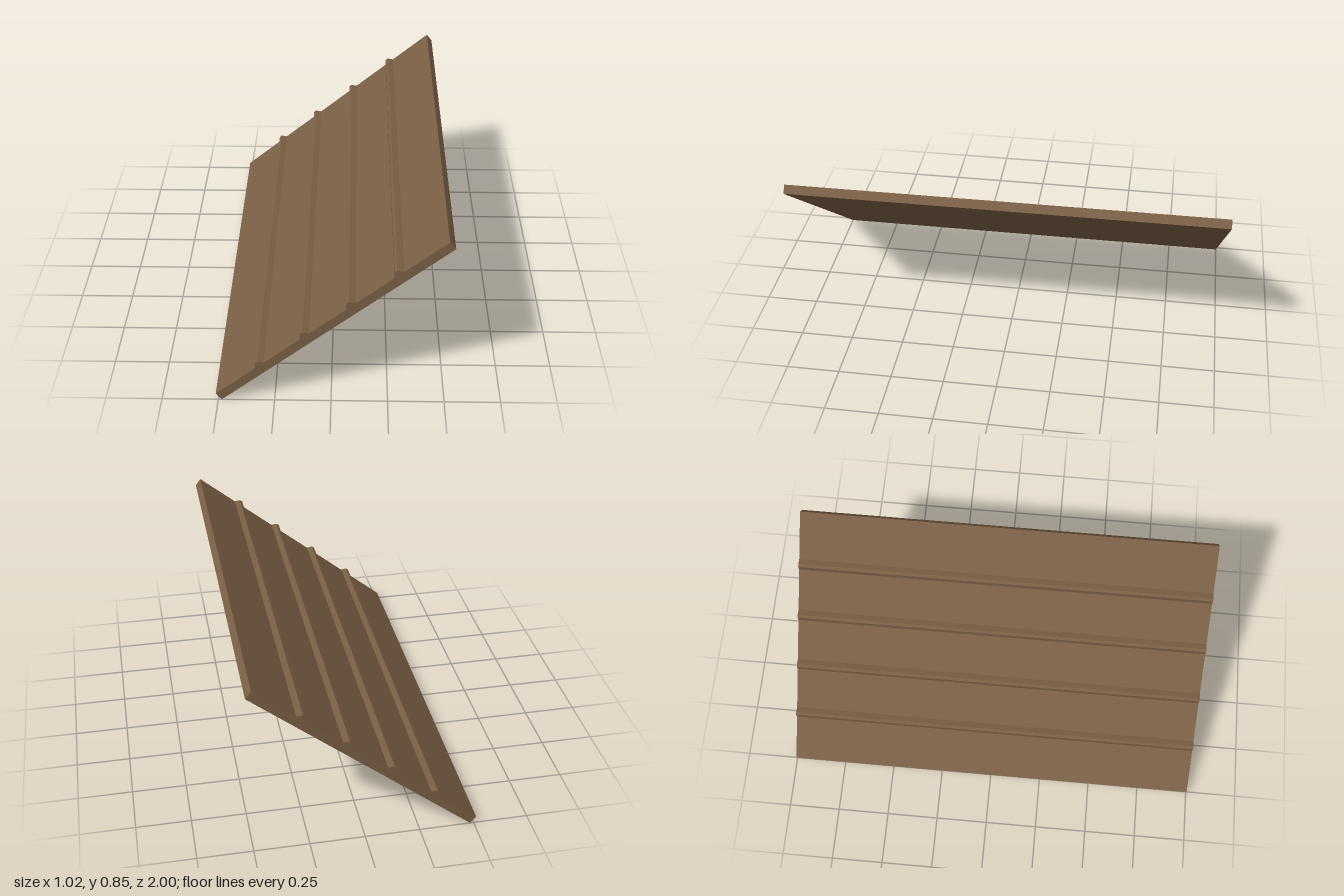
import * as THREE from 'three';

const LENGTH = 2;

// Extrudes an x-y profile along the full depth, centred on z = 0
function extrudeProfile(points, material, name) {
  const shape = new THREE.Shape(points.map(([x, y]) => new THREE.Vector2(x, y)));
  const geometry = new THREE.ExtrudeGeometry(shape, { depth: LENGTH, bevelEnabled: false });
  geometry.translate(0, 0, -LENGTH / 2);
  const mesh = new THREE.Mesh(geometry, material);
  mesh.name = name;
  return mesh;
}

export function createModel() {
  const group = new THREE.Group();
  group.name = 'cleatedRamp';
  const wood = new THREE.MeshStandardMaterial({ color: 0x7a5f44 });
  wood.name = 'brown wood';

  // Sloping board with square-cut ends
  group.add(extrudeProfile(
    [[-0.51, 0.034], [-0.484, 0.001], [0.51, 0.822], [0.484, 0.855]], wood, 'rampBoard'));

  // Foot cleats, evenly spaced up the slope, with a chamfered upper edge
  const cleat = [[0, 0], [0.041, 0.033], [0.036, 0.034], [0.012, 0.038], [0, 0.029]];
  for (let i = 0; i < 4; i++) {
    const x = -0.333 + i * 0.1987;
    const y = 0.034 + (x + 0.51) * 0.826;
    group.add(extrudeProfile(cleat.map(([dx, dy]) => [x + dx, y + dy]), wood, `cleat${i + 1}`));
  }
  return group;
}
